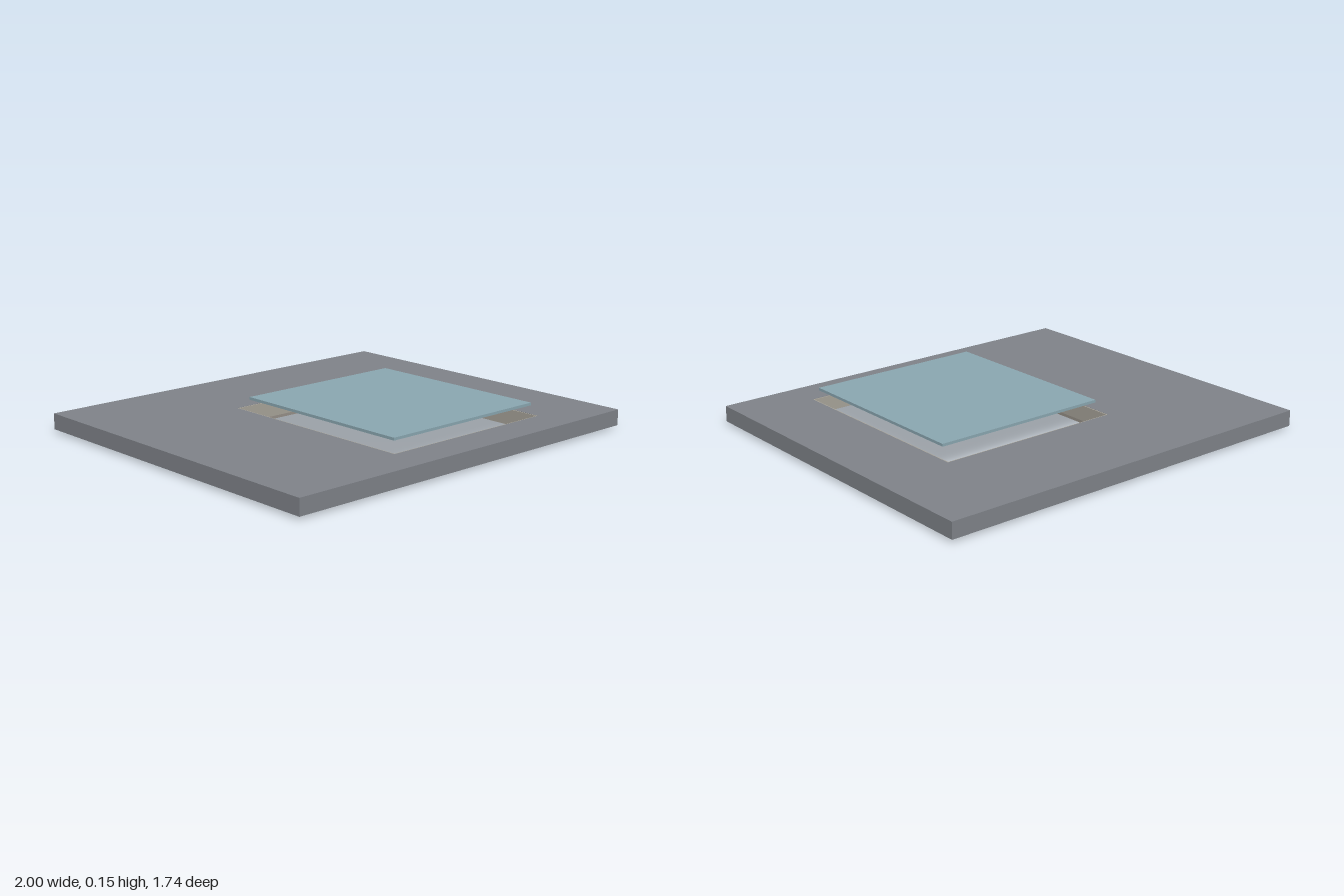
import * as THREE from 'three';

// Opening in the slab, and the slightly smaller one left inside its lining
const hole = { x0: -0.306, x1: 0.632, z0: -0.367, z1: 0.69 };
const t = 0.006;
const inner = { x0: hole.x0 + t, x1: hole.x1 - t, z0: hole.z0 + t, z1: hole.z1 - t };

// Plan points; shape y stands for -z so the extrusion can be laid flat
const plan = (points) => points.map(([x, z]) => new THREE.Vector2(x, -z));

// Counter-clockwise rectangle
const rectangle = ({ x0, x1, z0, z1 }) => plan([[x0, z0], [x0, z1], [x1, z1], [x1, z0]]);

// Flat part extruded upwards from y0 to y1, with an optional opening
function flatPart(name, points, opening, y0, y1, color) {
  const shape = new THREE.Shape(points);
  if (opening) shape.holes.push(new THREE.Path(rectangle(opening)));
  const geometry = new THREE.ExtrudeGeometry(shape, { depth: y1 - y0, bevelEnabled: false });
  geometry.rotateX(-Math.PI / 2).translate(0, y0, 0);
  const mesh = new THREE.Mesh(geometry, new THREE.MeshStandardMaterial({ color }));
  mesh.name = name;
  return mesh;
}

export function createModel() {
  const model = new THREE.Group();
  model.name = 'slabWithHatch';

  // Thick slab with an off-centre opening
  const slab = flatPart('slab', rectangle({ x0: -1, x1: 1, z0: -0.87, z1: 0.87 }),
    hole, 0.014, 0.091, 0x7f8389);

  // Thin lining around the inside of the opening
  const lining = flatPart('openingLining', rectangle(hole), inner, 0.014, 0.09, 0xa8a49a);

  // L-shaped plate under the slab, along the right and back of the opening
  const outline = plan([[-0.63, -0.693], [-0.63, 0.685], [inner.x0, 0.685],
    [inner.x0, inner.z0], [inner.x1, inner.z0], [inner.x1, -0.693]]);
  const plate = flatPart('undersidePlate', outline, null, 0, 0.014, 0x969088);

  // Thin panel floating above the opening
  const panel = flatPart('hatchPanel', rectangle({ x0: -0.281, x1: 0.612, z0: -0.305, z1: 0.661 }),
    null, 0.139, 0.152, 0x8aa7b1);

  model.add(slab, lining, plate, panel);
  return model;
}
